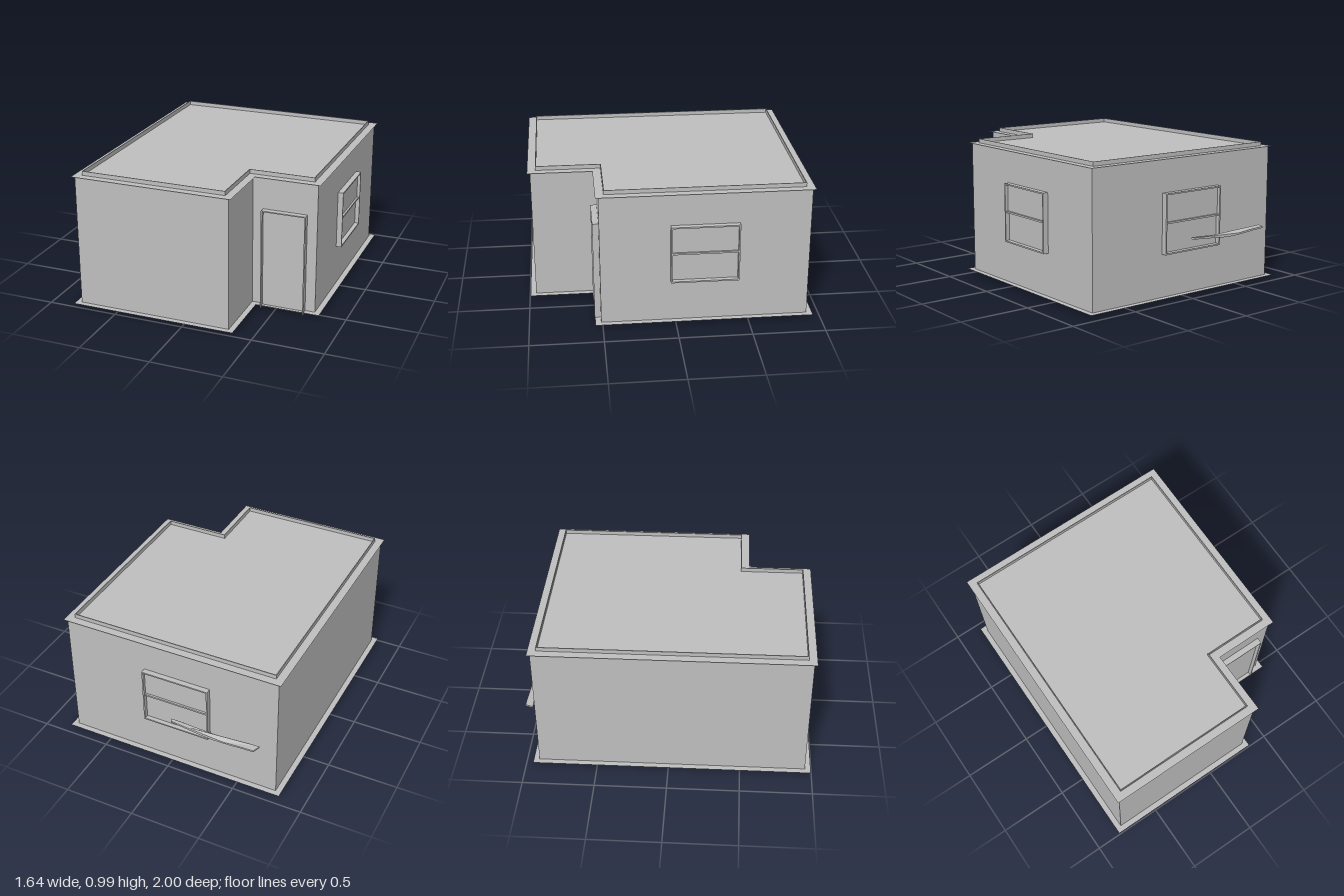
import * as THREE from 'three';

export function createModel() {
  const house = new THREE.Group();
  house.name = 'house';
  const plaster = new THREE.MeshStandardMaterial({ color: 0xbfbfbf, side: THREE.DoubleSide });
  plaster.name = 'plaster';

  const add = (parent, name, geometry) => {
    const mesh = new THREE.Mesh(geometry, plaster);
    mesh.name = name;
    parent.add(mesh);
    return mesh;
  };

  // L-shaped floor plan, grown outward by o
  const plan = (o) => [
    [-0.78 - o, 0.955 + o], [0.323 + o, 0.955 + o], [0.323 + o, 0.51 + o],
    [0.78 + o, 0.51 + o], [0.78 + o, -0.91 - o], [-0.78 - o, -0.91 - o],
  ].map(([x, z]) => new THREE.Vector2(x, -z));

  const slab = (name, o, y0, y1, inner) => {
    const shape = new THREE.Shape(plan(o));
    if (inner !== undefined) shape.holes.push(new THREE.Path(plan(inner)));
    const g = new THREE.ExtrudeGeometry(shape, { depth: y1 - y0, bevelEnabled: false });
    add(house, name, g.rotateX(-Math.PI / 2).translate(0, y0, 0));
  };
  const ledge = (name, o, y) => {
    const g = new THREE.ShapeGeometry(new THREE.Shape(plan(o)));
    add(house, name, g.rotateX(-Math.PI / 2).translate(0, y, 0));
  };

  slab('base', -0.016, 0, 0.022);
  ledge('baseLedge', 0.04, 0.022);
  slab('walls', 0, 0.022, 0.954);
  ledge('roofWithEaves', 0.02, 0.956);
  slab('parapet', -0.036, 0.956, 0.985, -0.042);

  // Opening built facing +z, centred on x, with its back on z = 0
  const box = (parent, name, w, h, d, x, y, z) =>
    add(parent, name, new THREE.BoxGeometry(w, h, d).translate(x, y, z));
  const frame = (parent, w, y0, y1, depth, t) => {
    for (const s of [-1, 1])
      box(parent, 'jamb', t, y1 - y0, depth, s * (w - t) / 2, (y0 + y1) / 2, depth / 2);
    box(parent, 'head', w, t, depth, 0, y1 - t / 2, depth / 2);
  };

  // Sash windows on the left and back walls
  const makeWindow = (name, w) => {
    const g = new THREE.Group();
    g.name = name;
    frame(g, w, 0.32, 0.73, 0.038, 0.01);
    box(g, 'sill', w, 0.01, 0.038, 0, 0.323, 0.019);
    box(g, 'meetingRail', w, 0.012, 0.03, 0, 0.53, 0.015);
    box(g, 'upperSash', w - 0.02, 0.19, 0.016, 0, 0.628, 0.008);
    box(g, 'lowerSash', w - 0.02, 0.196, 0.008, 0, 0.427, 0.004);
    house.add(g);
    return g;
  };
  const side = makeWindow('sideWindow', 0.465);
  side.position.set(0.78, 0, -0.197);
  side.rotation.y = Math.PI / 2;
  const back = makeWindow('backWindow', 0.49);
  back.position.set(-0.045, 0, -0.91);
  back.rotation.y = Math.PI;

  // Door in the front recess
  const door = new THREE.Group();
  door.name = 'door';
  frame(door, 0.315, 0.005, 0.73, 0.042, 0.008);
  box(door, 'doorPanel', 0.3, 0.715, 0.014, 0, 0.363, 0.007);
  door.position.set(0.552, 0, 0.51);
  house.add(door);

  // Thin curved blade along the back wall
  const blade = new THREE.Shape();
  blade.moveTo(-0.02, 0.955);
  blade.lineTo(-0.03, 0.98);
  blade.quadraticCurveTo(-0.35, 0.995, -0.65, 1.0);
  blade.lineTo(-0.67, 0.945);
  blade.quadraticCurveTo(-0.35, 0.945, -0.02, 0.955);
  const bladeGeo = new THREE.ExtrudeGeometry(blade, { depth: 0.012, bevelEnabled: false, curveSegments: 8 });
  bladeGeo.rotateX(-Math.PI / 2).translate(0, 0.388, 0);
  const p = bladeGeo.attributes.position;
  for (let i = 0; i < p.count; i++) {
    const t = (p.getX(i) + 0.67) / 0.65;
    p.setY(i, p.getY(i) + 0.01 * Math.cos(t * Math.PI * 2));
  }
  bladeGeo.computeVertexNormals();
  add(house, 'backBlade', bladeGeo);

  return house;
}
